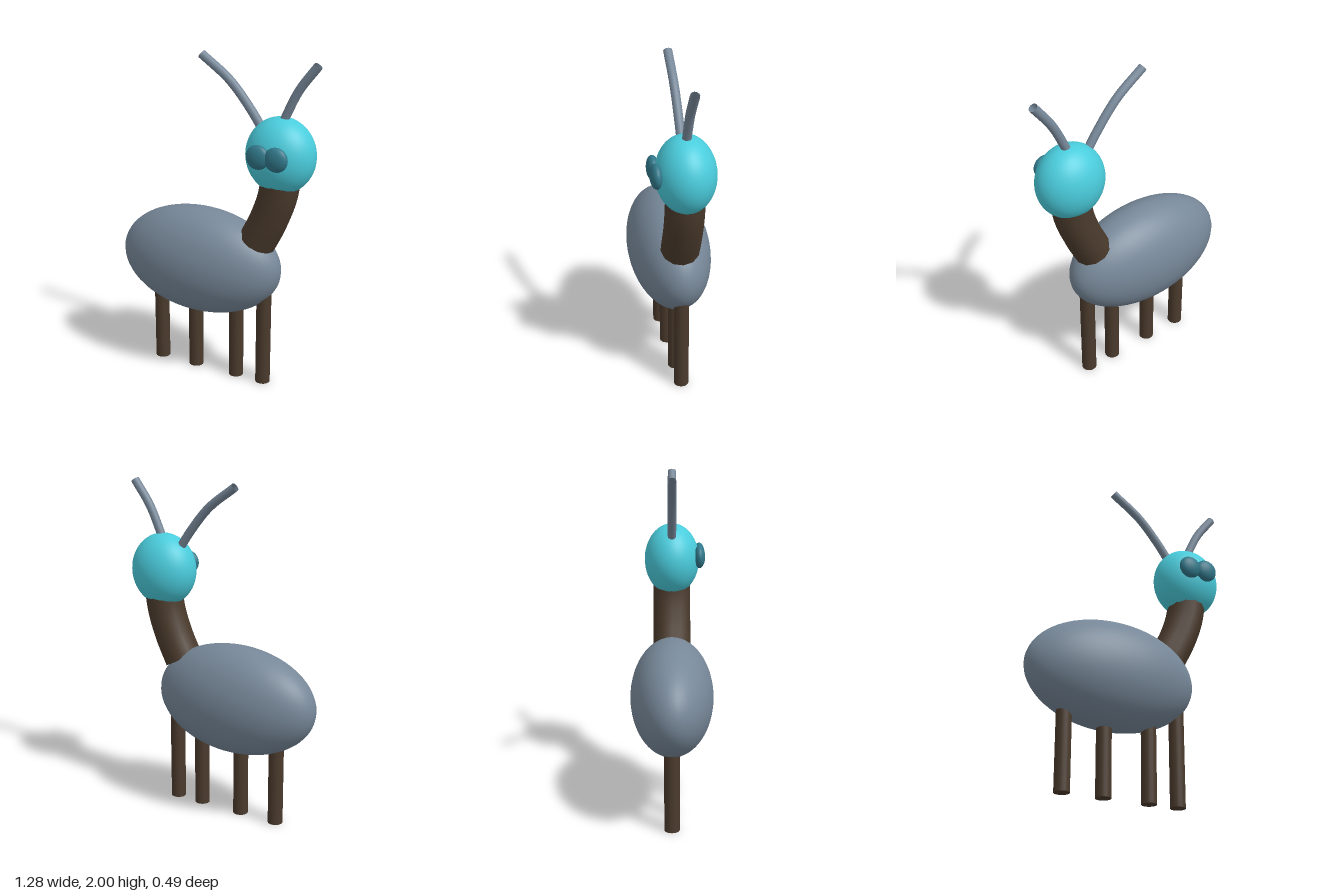
import * as THREE from 'three';

const mat = (color) => new THREE.MeshStandardMaterial({ color, side: THREE.DoubleSide });

export function createModel() {
  const model = new THREE.Group();
  const slate = mat(0x778899), cyan = mat(0x4accdc), brown = mat(0x4a3a2c), teal = mat(0x31788a);

  const add = (name, geometry, material, x = 0, y = 0, z = 0) => {
    const mesh = new THREE.Mesh(geometry, material);
    mesh.name = name;
    mesh.position.set(x, y, z);
    model.add(mesh);
    return mesh;
  };
  const ellipsoid = (name, material, [x, y, z], [rx, ry, rz]) =>
    add(name, new THREE.SphereGeometry(1, 48, 32).scale(rx, ry, rz), material, x, y, z);
  // Open tube along points in the z = 0 plane
  const tube = (name, material, radius, sides, points) => {
    const curve = new THREE.CatmullRomCurve3(points.map(([x, y]) => new THREE.Vector3(x, y, 0)));
    return add(name, new THREE.TubeGeometry(curve, 20, radius, sides, false), material);
  };

  ellipsoid('body', slate, [-0.113, 0.728, 0], [0.528, 0.331, 0.245]);
  ellipsoid('head', cyan, [0.407, 1.456, 0], [0.207, 0.221, 0.169]);

  // Eyes, side by side on the face
  for (const x of [0.345, 0.456]) ellipsoid('eye', teal, [x, 1.48, 0.17], [0.07, 0.07, 0.035]);

  // Neck, bending upward into the head
  tube('neck', brown, 0.115, 12, [[0.268, 0.915], [0.34, 1.06], [0.39, 1.2], [0.415, 1.34]]);

  // Antennae, curving outward
  tube('rightAntenna', slate, 0.026, 12, [[0.31, 1.56], [0.22, 1.69], [0.08, 1.85], [-0.1, 1.98]]);
  tube('leftAntenna', slate, 0.026, 12, [[0.39, 1.58], [0.44, 1.7], [0.51, 1.84], [0.615, 1.98]]);

  // Four legs in a single row
  for (const x of [-0.397, -0.15, 0.134, 0.318]) {
    add('leg', new THREE.CylinderGeometry(0.045, 0.045, 0.64, 20), brown, x, 0.32, 0);
  }
  return model;
}
